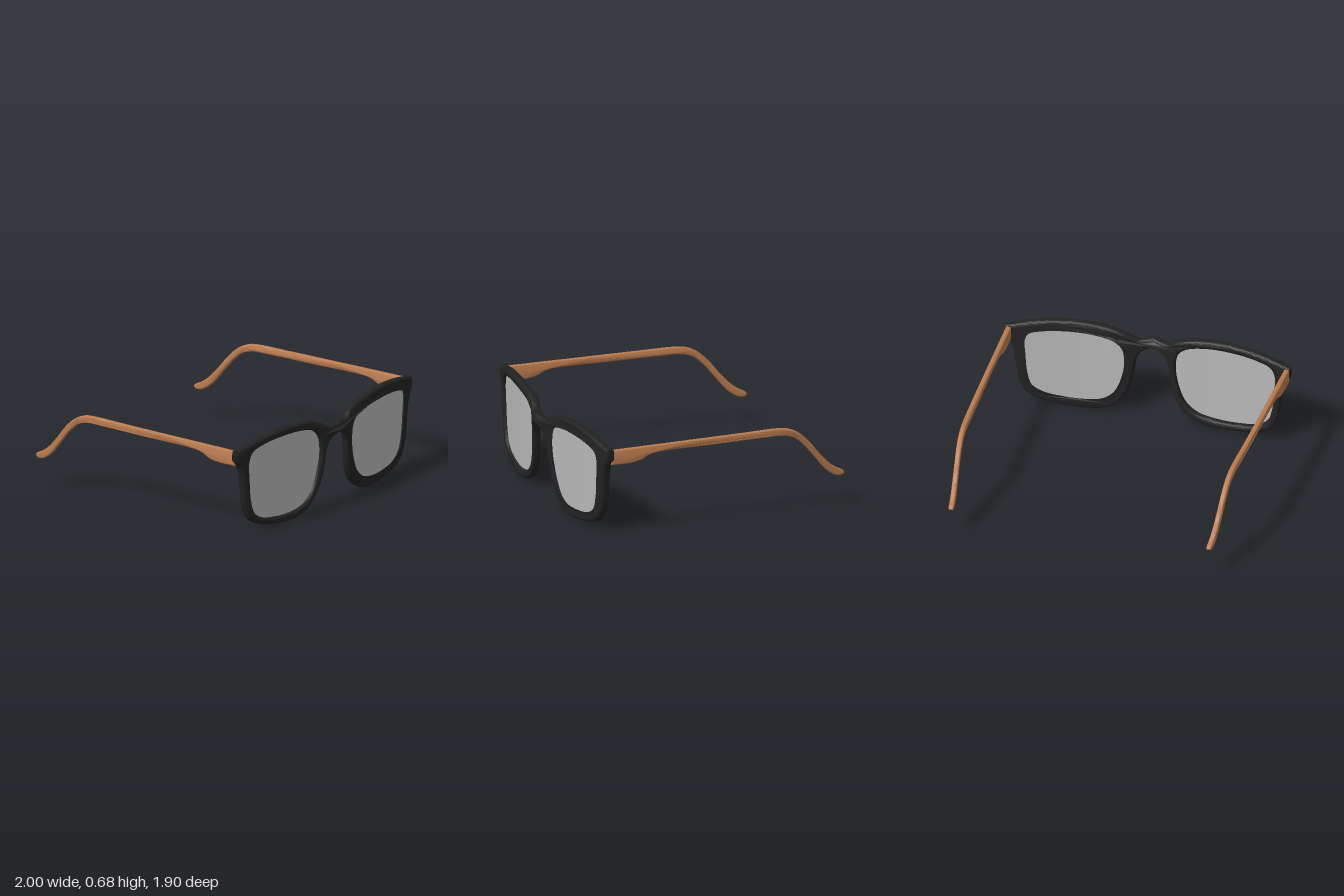
import * as THREE from 'three';
import { toCreasedNormals } from 'three/addons/utils/BufferGeometryUtils.js';

const material = (name, color, side = THREE.FrontSide) => {
  const m = new THREE.MeshStandardMaterial({ color, side });
  m.name = name;
  return m;
};

// Smooth 2D curve through a few points
function smooth(points, count, closed = false) {
  const curve = new THREE.CatmullRomCurve3(points.map(([x, y]) => new THREE.Vector3(x, y, 0)), closed);
  const out = curve.getSpacedPoints(count).map((p) => new THREE.Vector2(p.x, p.y));
  if (closed) out.pop();
  return out;
}

// Smooth function through (input, output) pairs
function curveThrough(pairs) {
  const f = new THREE.CubicInterpolant(pairs.map((p) => p[0]), pairs.map((p) => p[1]), 1);
  return (t) => f.evaluate(t)[0];
}

const mirrorX = (points) => points.map(([x, y]) => [-x, y]);

// Depth of the front's mid surface: wraps back at the sides, steps forward at the bridge
const wrap = curveThrough([[-0.1, 0.89], [0, 0.913], [0.1, 0.887], [0.19, 0.863],
  [0.35, 0.858], [0.5, 0.848], [0.8, 0.81], [1.01, 0.773]]);
const frontZ = (x, y) => wrap(Math.abs(x)) + (y - 0.45) * 0.02;

function moveVertices(geometry, rule) {
  const pos = geometry.attributes.position;
  const v = new THREE.Vector3();
  for (let i = 0; i < pos.count; i++) {
    rule(v.fromBufferAttribute(pos, i));
    pos.setXYZ(i, v.x, v.y, v.z);
  }
  return geometry;
}

// Extrusion of a profile with rounded edges, centred on its thickness
function roundedPlate(shape, thickness, bevel) {
  const depth = thickness - 2 * bevel;
  return new THREE.ExtrudeGeometry(shape, {
    depth, bevelThickness: bevel, bevelSize: bevel, bevelOffset: -bevel, bevelSegments: 4,
  }).translate(0, 0, -depth / 2);
}

const TOP = [[0.1, 0.588], [0.16, 0.622], [0.25, 0.657], [0.4, 0.68], [0.56, 0.687],
  [0.78, 0.668], [1, 0.622]];
const BOTTOM = [[1, 0.55], [0.955, 0.48], [0.938, 0.4], [0.925, 0.3], [0.905, 0.19],
  [0.86, 0.105], [0.78, 0.055], [0.65, 0.024], [0.45, 0.008], [0.32, 0.03], [0.22, 0.1],
  [0.16, 0.2], [0.13, 0.32], [0.11, 0.44], [0.07, 0.5]];
const OPENING = [[0.165, 0.42], [0.185, 0.53], [0.24, 0.585], [0.36, 0.617], [0.55, 0.63],
  [0.75, 0.615], [0.855, 0.582], [0.885, 0.52], [0.88, 0.4], [0.865, 0.25], [0.83, 0.15],
  [0.75, 0.095], [0.6, 0.067], [0.45, 0.064], [0.32, 0.092], [0.24, 0.16], [0.19, 0.27]];

// Both rims, the bridge and the end pieces in one plate
function frameGeometry() {
  const top = [...mirrorX(TOP).reverse(), [0, 0.6], ...TOP];
  const bottom = [...BOTTOM, [0, 0.525], ...mirrorX(BOTTOM).reverse()];
  const shape = new THREE.Shape([...smooth(top, 100), ...smooth(bottom, 200)]);
  for (const points of [OPENING, mirrorX(OPENING)]) {
    shape.holes.push(new THREE.Path(smooth(points, 100, true)));
  }
  const geometry = roundedPlate(shape, 0.062, 0.02);
  moveVertices(geometry, (v) => { v.z += frontZ(v.x, v.y); });
  return toCreasedNormals(geometry, 0.8);
}

// Curved lens made of rings growing from its centre to the opening
function lensGeometry(side) {
  const loop = smooth(OPENING, 80, true);
  const rings = 10, n = loop.length;
  const positions = [], index = [];
  for (let r = 0; r <= rings; r++) {
    const k = (r / rings) * 1.012;
    for (const p of loop) {
      const x = side * (0.53 + (p.x - 0.53) * k);
      const y = 0.35 + (p.y - 0.35) * k;
      positions.push(x, y, frontZ(x, y) + 0.008);
    }
  }
  for (let r = 0; r < rings; r++) {
    for (let i = 0; i < n; i++) {
      const a = r * n + i, b = r * n + (i + 1) % n, c = a + n, d = b + n;
      // The loop runs clockwise on the left lens and counter-clockwise on the right
      const faces = side > 0 ? [a, d, c, a, b, d] : [a, c, d, a, d, b];
      index.push(...(r === 0 ? faces.slice(0, 3) : faces));
    }
  }
  const geometry = new THREE.BufferGeometry();
  geometry.setAttribute('position', new THREE.Float32BufferAttribute(positions, 3));
  geometry.setIndex(index);
  geometry.computeVertexNormals();
  return geometry;
}

// Side arm: deep at the hinge, slim along the head, curled down behind the ear
const templeX = curveThrough([[-1, 0.899], [-0.93, 0.905], [-0.6, 0.937], [-0.2, 0.954],
  [0.2, 0.964], [0.8, 0.977]]);

function templeGeometry(side) {
  // Profile as (-z, y)
  const upper = [[-0.77, 0.615], [-0.3, 0.615], [0.2, 0.615], [0.44, 0.615], [0.52, 0.606],
    [0.6, 0.57], [0.68, 0.498], [0.76, 0.4], [0.84, 0.315], [0.9, 0.272], [0.94, 0.252],
    [0.95, 0.237], [0.935, 0.222], [0.89, 0.222], [0.82, 0.265], [0.73, 0.37], [0.65, 0.466],
    [0.57, 0.535], [0.48, 0.562], [0.38, 0.565], [0, 0.565], [-0.42, 0.565], [-0.49, 0.553],
    [-0.55, 0.525], [-0.62, 0.512], [-0.77, 0.512]];
  const geometry = roundedPlate(new THREE.Shape(smooth(upper, 200)), 0.036, 0.01);
  geometry.rotateY(Math.PI / 2);
  moveVertices(geometry, (v) => { v.x += side * templeX(v.z); });
  return toCreasedNormals(geometry, 0.8);
}

export function createModel() {
  const black = material('black acetate', 0x222222);
  const wood = material('brown wood', 0xb87a4e);
  const glass = material('grey lens', 0xb8b8b8, THREE.DoubleSide);

  const group = new THREE.Group();
  group.name = 'glasses';
  const add = (name, geometry, mat) => {
    const mesh = new THREE.Mesh(geometry, mat);
    mesh.name = name;
    group.add(mesh);
  };

  add('frontFrame', frameGeometry(), black);
  for (const [name, side] of [['left', 1], ['right', -1]]) {
    add(`${name}Lens`, lensGeometry(side), glass);
    add(`${name}Temple`, templeGeometry(side), wood);
  }
  return group;
}
